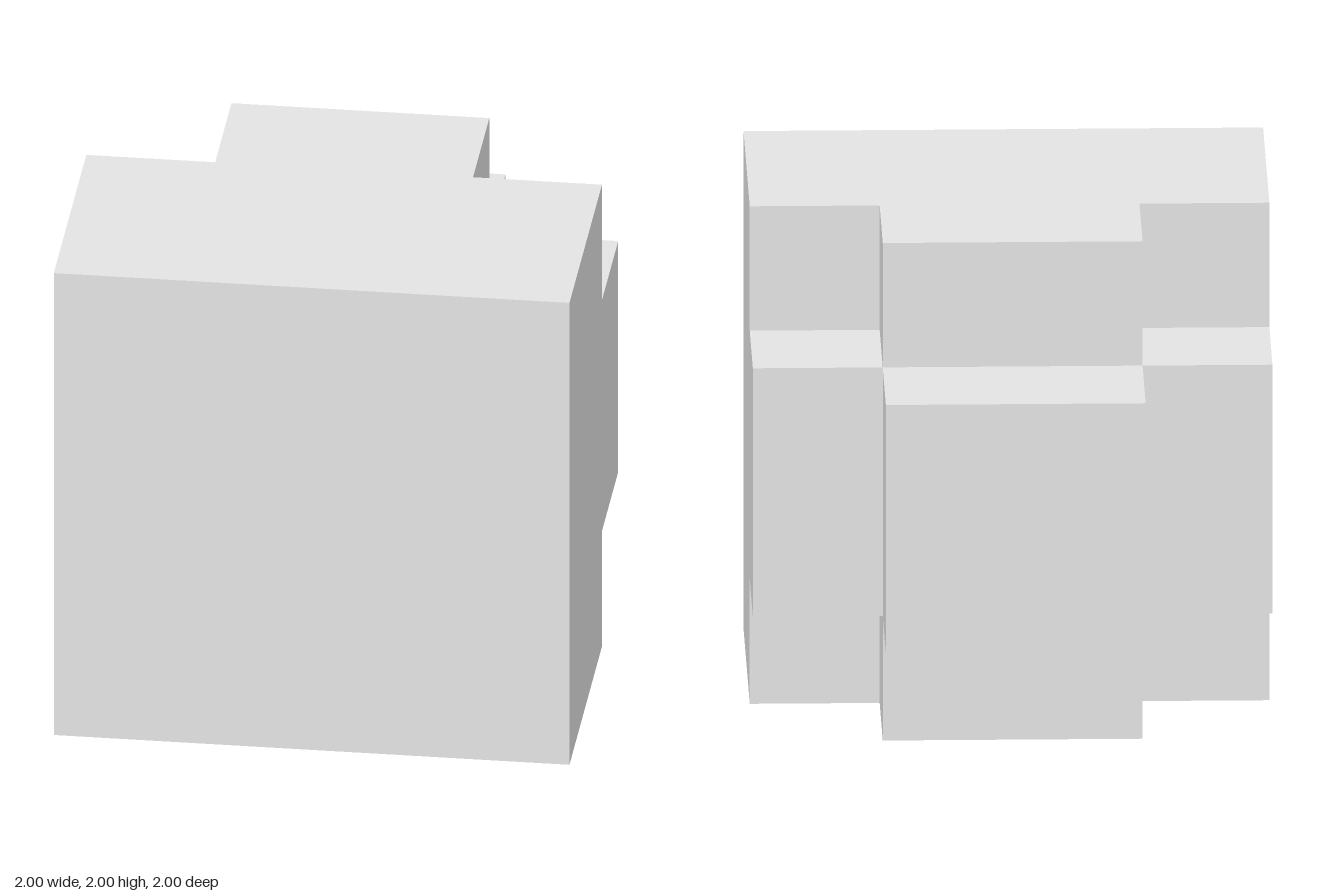
import * as THREE from 'three';

const SQUARE = [[-1, 0], [1, 0], [1, 2], [-1, 2]];
const CROSS = [[-0.5, 0], [0.5, 0], [0.5, 0.5], [1, 0.5], [1, 1.5], [0.5, 1.5],
  [0.5, 2], [-0.5, 2], [-0.5, 1.5], [-1, 1.5], [-1, 0.5], [-0.5, 0.5]];
const CORE = [[-0.5, 0.5], [0.5, 0.5], [0.5, 1.5], [-0.5, 1.5]];

export function createModel() {
  const model = new THREE.Group();
  const grey = new THREE.MeshStandardMaterial({ color: 0xe3e3e3 });
  grey.name = 'light grey';

  // Upright square facing +z, or -z when it is a back face
  function face(parent, name, size, x, y, z, back) {
    const mesh = new THREE.Mesh(new THREE.PlaneGeometry(size, size), grey);
    mesh.name = name;
    mesh.position.set(x, y, z);
    if (back) mesh.rotation.y = Math.PI;
    parent.add(mesh);
  }

  // One tier: straight walls around a counter-clockwise outline
  function tier(name, outline, front, back) {
    const group = new THREE.Group();
    group.name = name;
    const points = [];
    outline.forEach(([x, y], i) => {
      const [u, v] = outline[(i + 1) % outline.length];
      points.push(x, y, front, x, y, back, u, v, back, x, y, front, u, v, back, u, v, front);
    });
    const geometry = new THREE.BufferGeometry();
    geometry.setAttribute('position', new THREE.Float32BufferAttribute(points, 3));
    geometry.computeVertexNormals();
    const walls = new THREE.Mesh(geometry, grey);
    walls.name = name + 'Walls';
    group.add(walls);
    model.add(group);
    return group;
  }

  // Full square front slab with its four exposed back corners
  const slab = tier('frontSlab', SQUARE, 1, 0);
  face(slab, 'slabFront', 2, 0, 1, 1, false);
  for (const x of [-0.75, 0.75])
    for (const y of [0.25, 1.75]) face(slab, 'slabBackCorner', 0.5, x, y, 0, true);

  // Cross-shaped middle; each arm end is two half-unit squares
  const cross = tier('middleCross', CROSS, 0, -0.5);
  for (const a of [-0.75, 0.75])
    for (const b of [-0.25, 0.25]) {
      face(cross, 'sideArmBack', 0.5, a, 1 + b, -0.5, true);
      face(cross, 'uprightArmBack', 0.5, b, 1 + a, -0.5, true);
    }

  // Square block at the back
  const core = tier('backBlock', CORE, -0.5, -1);
  face(core, 'blockBack', 1, 0, 1, -1, true);

  return model;
}
